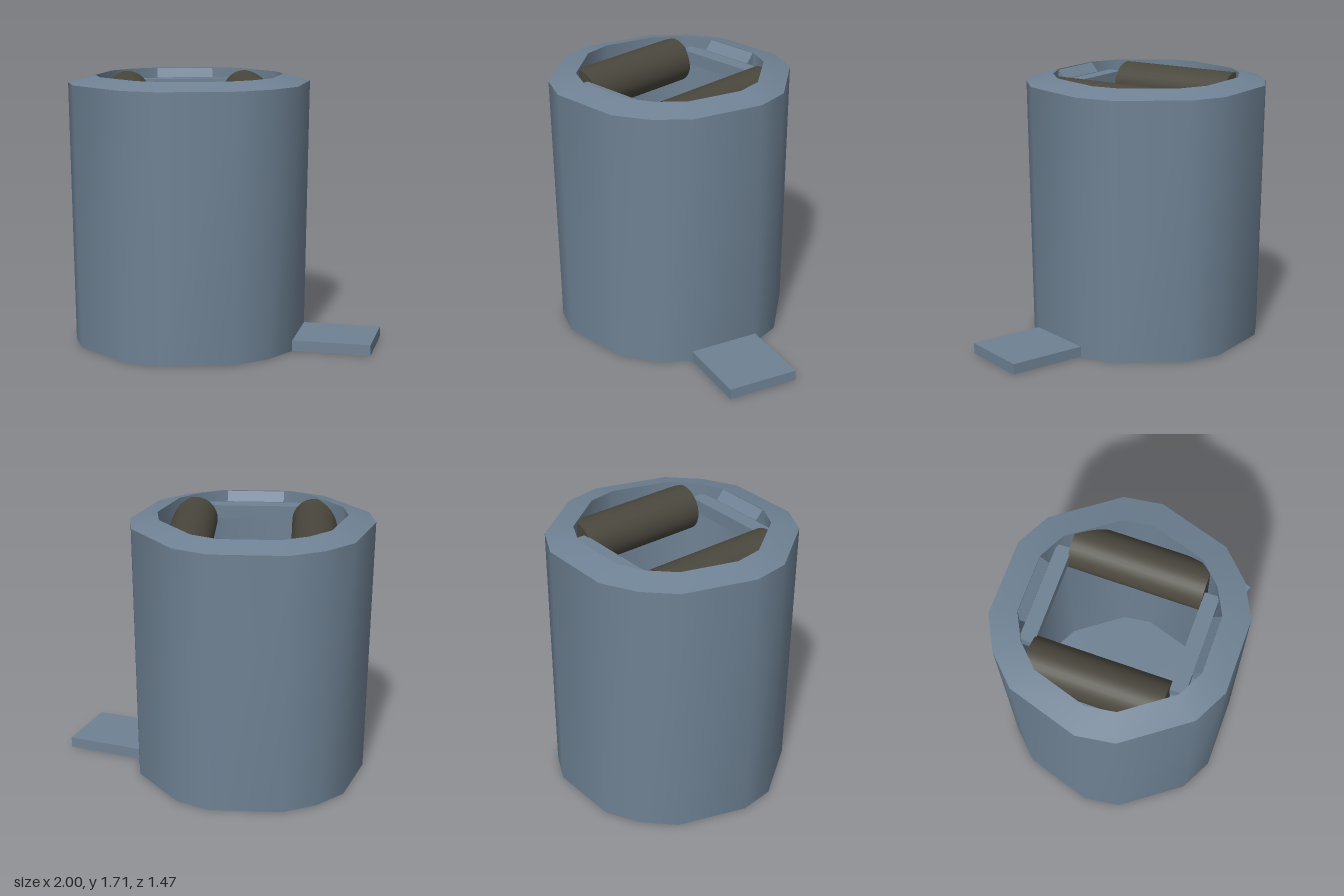
import * as THREE from 'three';
import { toCreasedNormals } from 'three/addons/utils/BufferGeometryUtils.js';

// Half of the fourteen-sided outline (x, z); the other half is its half-turn
const HALF = [[-0.24, -0.735], [0.24, -0.735], [0.455, -0.625], [0.735, -0.24], [0.77, 0], [0.63, 0.45], [0.455, 0.625]];
const OUTLINE = [...HALF, ...HALF.map(([x, z]) => [-x, -z])];

// Skin a stack of scaled outlines given as [scale, y]
function loft(rings) {
  const pos = [];
  const n = OUTLINE.length;
  const point = ([s, y], j) => [OUTLINE[j % n][0] * s, y, OUTLINE[j % n][1] * s];
  for (let i = 0; i < rings.length - 1; i++) {
    const lo = rings[i], hi = rings[i + 1];
    for (let j = 0; j < n; j++) {
      const a = point(lo, j), b = point(lo, j + 1), c = point(hi, j + 1), d = point(hi, j);
      if (lo[0] > 0) pos.push(...a, ...d, ...b);
      if (hi[0] > 0) pos.push(...b, ...d, ...c);
    }
  }
  const g = new THREE.BufferGeometry();
  g.setAttribute('position', new THREE.Float32BufferAttribute(pos, 3));
  return toCreasedNormals(g, 0.58);
}

// Extrude a (z, y) profile along x, centred on x = 0
function acrossX(profile, width) {
  const shape = new THREE.Shape(profile.map(([z, y]) => new THREE.Vector2(-z, y)));
  return new THREE.ExtrudeGeometry(shape, { depth: width, bevelEnabled: false })
    .translate(0, 0, -width / 2).rotateY(Math.PI / 2);
}

export function createModel() {
  const model = new THREE.Group();
  model.name = 'pedalBin';
  const steel = new THREE.MeshStandardMaterial({ name: 'blueGrey', color: 0x6f8294 });
  const dark = new THREE.MeshStandardMaterial({ name: 'darkBrown', color: 0x4a473d });

  const add = (parent, name, geometry, material) => {
    const mesh = new THREE.Mesh(geometry, material);
    mesh.name = name;
    parent.add(mesh);
    return mesh;
  };

  const bin = new THREE.Group();
  bin.name = 'bin';
  bin.position.x = -0.23;
  model.add(bin);

  // Hollow tapered body with sloping rim
  add(bin, 'body', loft([[0, 0], [0.968, 0], [1, 1.665], [0.775, 1.71], [0.775, 0.05], [0, 0.05]]), steel);

  // Two rollers, with a bar and a sloping tab at each end of the opening
  for (const side of [1, -1]) {
    const roller = add(bin, 'roller', new THREE.CylinderGeometry(0.145, 0.145, 0.845, 32), dark);
    roller.rotation.x = Math.PI / 2;
    roller.position.set(side * 0.39, 1.555, -0.005);

    const support = new THREE.Group();
    support.name = 'rollerSupport';
    support.rotation.y = side > 0 ? 0 : Math.PI;
    bin.add(support);
    add(support, 'bar', acrossX([[0.42, 1.56], [0.515, 1.56], [0.515, 1.645], [0.42, 1.645]], 0.64), steel);
    add(support, 'tab', acrossX([[0.515, 1.56], [0.569, 1.56], [0.569, 1.705], [0.515, 1.648]], 0.37), steel);
  }

  // Foot pedal
  const pedal = add(model, 'pedal', new THREE.BoxGeometry(0.52, 0.068, 0.462), steel);
  pedal.rotation.y = -0.318;
  pedal.position.set(0.676, 0.035, 0.29);

  return model;
}
